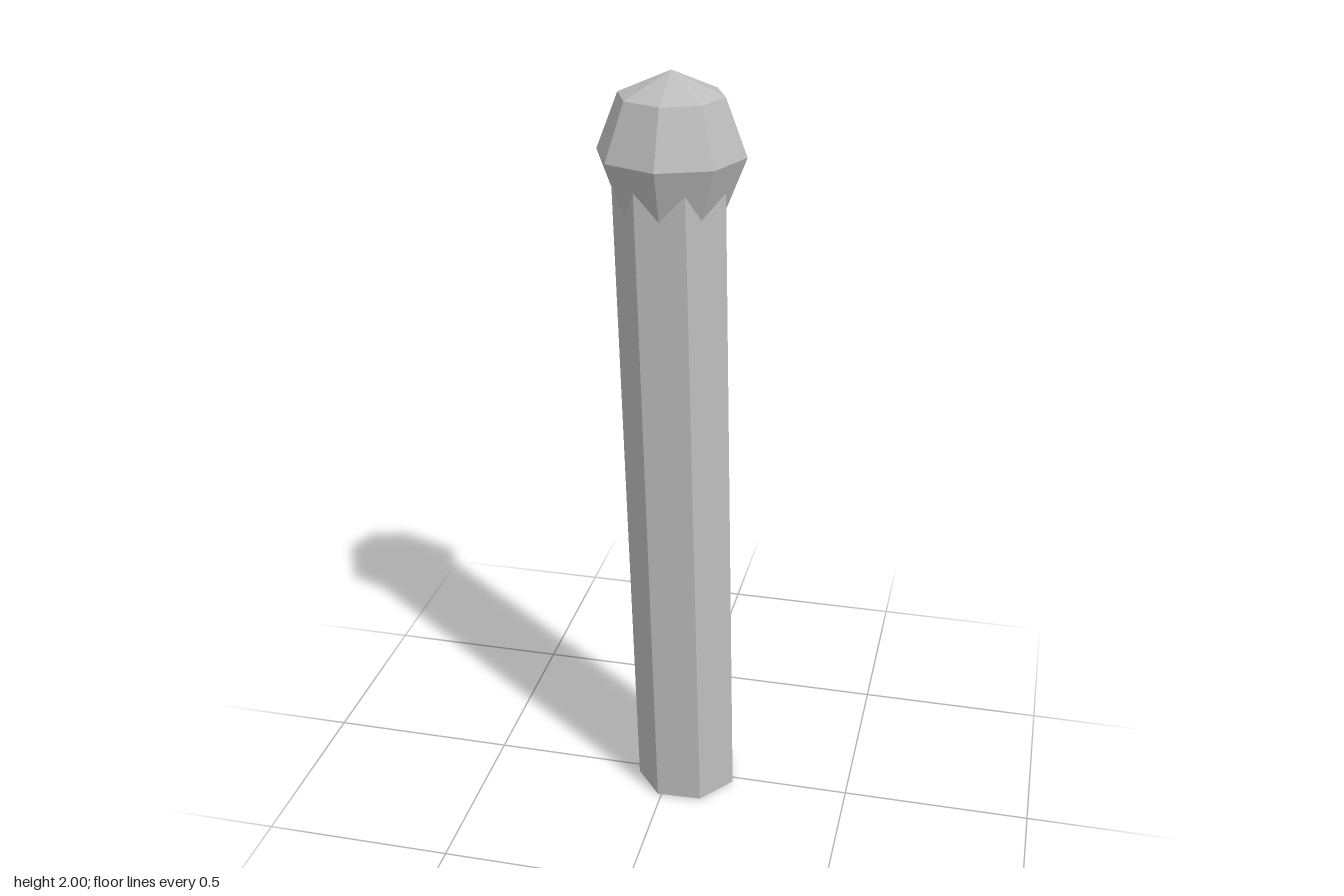
import * as THREE from 'three';

export function createModel() {
  const model = new THREE.Group();
  model.name = 'post';
  const grey = new THREE.MeshStandardMaterial({ color: 0xbcbcbc, flatShading: true });
  grey.name = 'grey';

  // Seven-sided shaft, leaning slightly and widening a little towards the top
  const height = 1.8;
  const shaftGeometry = new THREE.CylinderGeometry(0.145, 0.138, height, 7, 1, false, THREE.MathUtils.degToRad(77.4));
  shaftGeometry.translate(0, height / 2, 0);
  const shaft = new THREE.Mesh(shaftGeometry, grey);
  shaft.name = 'shaft';
  shaft.position.set(0.05, 0.004, 0);
  shaft.rotation.z = 0.029;
  model.add(shaft);

  // Faceted knob that swallows the upper end of the shaft
  const knob = new THREE.Mesh(new THREE.SphereGeometry(1, 8, 4), grey);
  knob.name = 'knob';
  knob.scale.set(0.186, 0.2, 0.181);
  knob.position.set(0, 1.8, -0.001);
  model.add(knob);

  return model;
}
